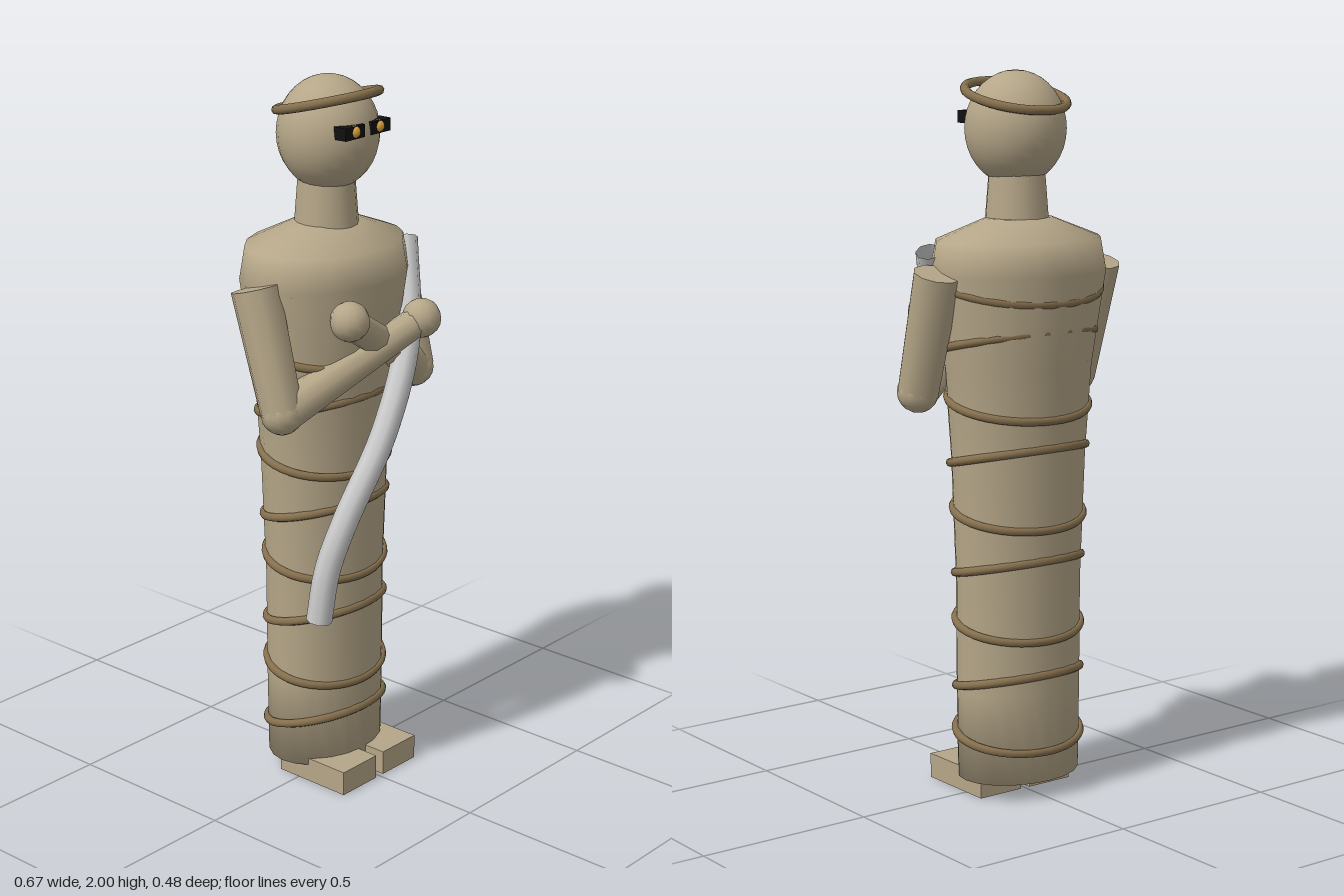
import * as THREE from 'three';

const material = (color) => new THREE.MeshStandardMaterial({ color });
const V = (x, y, z) => new THREE.Vector3(x, y, z);

export function createModel() {
  const model = new THREE.Group();
  const cloth = material(0xb5a688), cord = material(0x86704e);
  const black = material(0x111111), amber = material(0xd9a040);
  const sashMat = material(0xcccccc);
  sashMat.side = THREE.DoubleSide;

  const add = (name, geometry, mat, x = 0, y = 0, z = 0) => {
    const mesh = new THREE.Mesh(geometry, mat);
    mesh.name = name;
    mesh.position.set(x, y, z);
    model.add(mesh);
    return mesh;
  };

  // Tapered cylinder running from a to b
  const limb = (name, a, b, ra, rb, sides) => {
    const dir = b.clone().sub(a);
    const mesh = add(name, new THREE.CylinderGeometry(rb, ra, dir.length(), sides), cloth);
    mesh.position.copy(a).add(b).multiplyScalar(0.5);
    mesh.quaternion.setFromUnitVectors(V(0, 1, 0), dir.normalize());
  };

  // Wrapped body: oval lathe, widest at the chest
  const bodyZ = -0.037, oval = 0.78;
  const profile = [[0, 0.05], [0.183, 0.05], [0.186, 0.3], [0.187, 0.6], [0.2, 0.95],
    [0.218, 1.2], [0.26, 1.46], [0.243, 1.55], [0.1, 1.605], [0, 1.61]];
  const body = add('body', new THREE.LatheGeometry(
    profile.map(([r, y]) => new THREE.Vector2(r, y)), 20), cloth, 0, 0, bodyZ);
  body.scale.z = oval;

  // Neck and head
  add('neck', new THREE.CylinderGeometry(0.077, 0.088, 0.14, 16), cloth, 0, 1.66, -0.03);
  add('head', new THREE.SphereGeometry(0.139, 24, 18), cloth, 0, 1.845, -0.024).scale.y = 1.115;

  // Tilted head band
  const band = add('headBand', new THREE.TorusGeometry(0.139, 0.013, 8, 32), cord, 0, 1.931, -0.025);
  band.rotation.x = Math.PI / 2 - 0.25;

  // Cords around the body, tilting alternately
  const cords = [[0.17, 0.19], [0.323, 0.189], [0.485, 0.19], [0.645, 0.191], [0.798, 0.196],
    [0.955, 0.204], [1.105, 0.211], [1.272, 0.228], [1.43, 0.245]];
  cords.forEach(([y, r], i) => {
    const ring = new THREE.TorusGeometry(r, 0.012, 8, 40);
    ring.rotateX(Math.PI / 2);
    ring.scale(1, 1, oval);
    add('bodyCord', ring, cord, 0, y, bodyZ).rotation.x = i % 2 ? 0.23 : -0.23;
  });

  for (const s of [1, -1]) {
    const side = s > 0 ? 'left' : 'right';
    // Eyes in dark sockets
    add(side + 'EyeSocket', new THREE.BoxGeometry(0.076, 0.034, 0.04), black, s * 0.052, 1.872, 0.097);
    add(side + 'Eye', new THREE.SphereGeometry(0.017, 12, 8), amber, s * 0.048, 1.873, 0.11);

    // Crossed arms
    const shoulder = V(s * 0.272, 1.47, -0.04);
    const elbow = V(s * 0.272, 1.142, 0.053);
    const hand = V(s * -0.148, s > 0 ? 1.395 : 1.337, 0.183);
    limb(side + 'UpperArm', shoulder, elbow, 0.066, 0.058, 10);
    add(side + 'Elbow', new THREE.SphereGeometry(0.058, 12, 10), cloth, ...elbow);
    limb(side + 'Forearm', elbow, hand, 0.055, 0.04, 10);
    add(side + 'Hand', new THREE.SphereGeometry(0.054, 12, 10), cloth, ...hand);

    // Feet
    add(side + 'Foot', new THREE.BoxGeometry(0.14, 0.07, 0.24), cloth, s * 0.085, 0.035, 0.05);
  }

  // Diagonal hanging sash, open at both ends
  const path = new THREE.CatmullRomCurve3([V(0.24, 1.52, 0.045), V(0.14, 1.27, 0.14),
    V(0.005, 1.04, 0.173), V(-0.125, 0.82, 0.15), V(-0.172, 0.68, 0.125), V(-0.19, 0.53, 0.11)]);
  add('sash', new THREE.TubeGeometry(path, 28, 0.036, 8), sashMat);

  return model;
}
